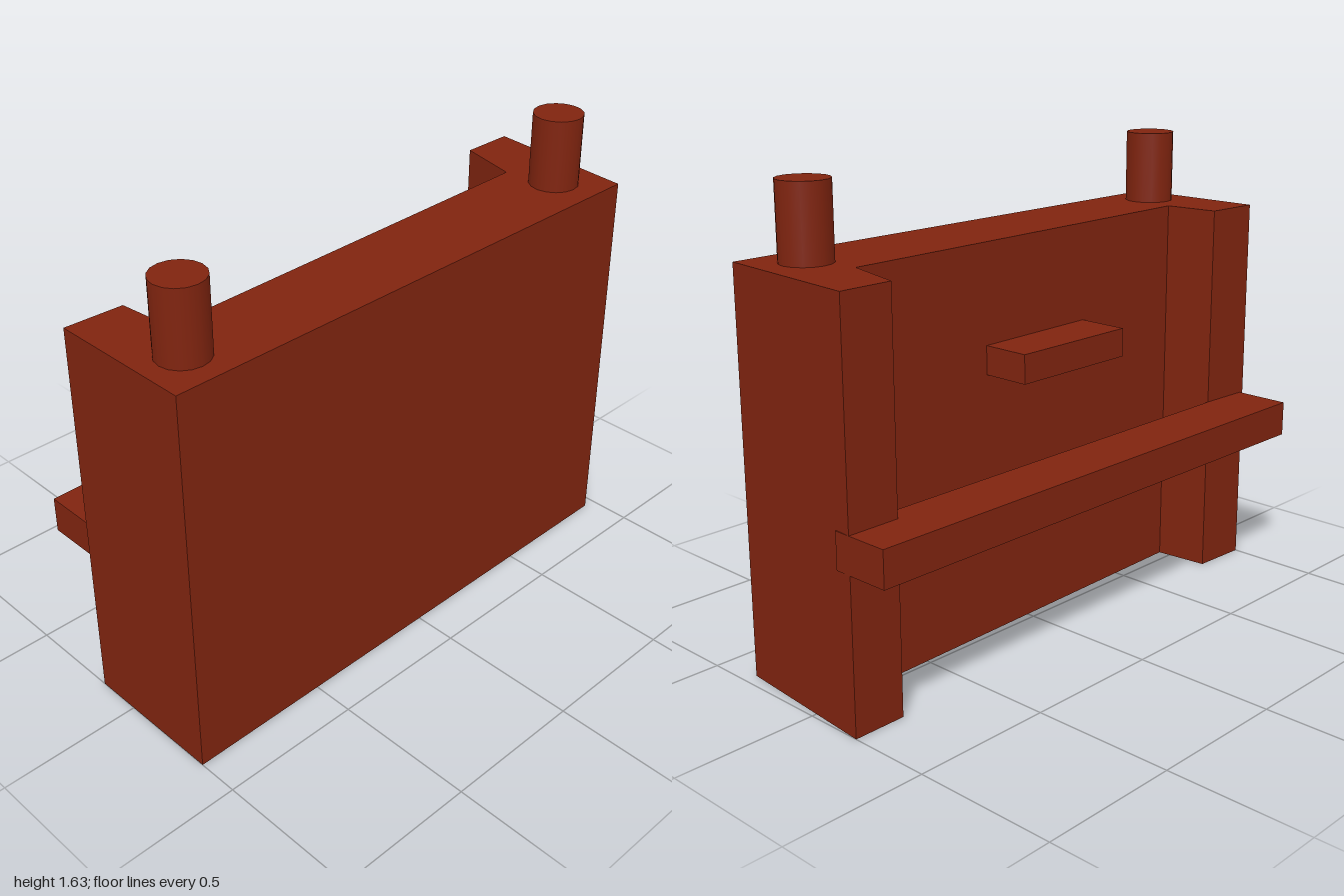
import * as THREE from 'three';

export function createModel() {
  const group = new THREE.Group();
  group.name = 'fireplace';
  const brick = new THREE.MeshStandardMaterial({ color: 0x80240f });
  brick.name = 'brick red';

  const add = (name, geometry, x = 0, y = 0, z = 0) => {
    const mesh = new THREE.Mesh(geometry, brick);
    mesh.name = name;
    mesh.position.set(x, y, z);
    group.add(mesh);
    return mesh;
  };

  // Box given by its minimum and maximum corners
  const addBox = (name, [x0, y0, z0], [x1, y1, z1]) =>
    add(name, new THREE.BoxGeometry(x1 - x0, y1 - y0, z1 - z0),
      (x0 + x1) / 2, (y0 + y1) / 2, (z0 + z1) / 2);

  // Wall with two end piers: slightly skewed C-shaped plan, as [x, z]
  const height = 1.375;
  const plan = [
    [-0.21, -1], [0.345, -0.955], [0.355, 1], [-0.16, 1],
    [-0.15, 0.795], [0.045, 0.775], [0.01, -0.755], [-0.21, -0.81],
  ];
  const shape = new THREE.Shape(plan.map(([x, z]) => new THREE.Vector2(x, -z)));
  const wall = new THREE.ExtrudeGeometry(shape, { depth: height, bevelEnabled: false });
  wall.rotateX(-Math.PI / 2);
  add('wallAndPiers', wall);

  // Long shelf across the piers, small shelf on the inner wall
  addBox('longShelf', [-0.36, 0.53, -1], [-0.15, 0.655, 0.985]);
  addBox('smallShelf', [-0.15, 0.93, -0.2], [0.04, 1.03, 0.29]);

  // Chimney pots
  const potHeight = 0.255;
  for (const [name, x, z] of [['backChimney', 0.18, -0.805], ['frontChimney', 0.2, 0.85]]) {
    add(name, new THREE.CylinderGeometry(0.087, 0.087, potHeight, 16), x, height + potHeight / 2, z);
  }

  return group;
}
